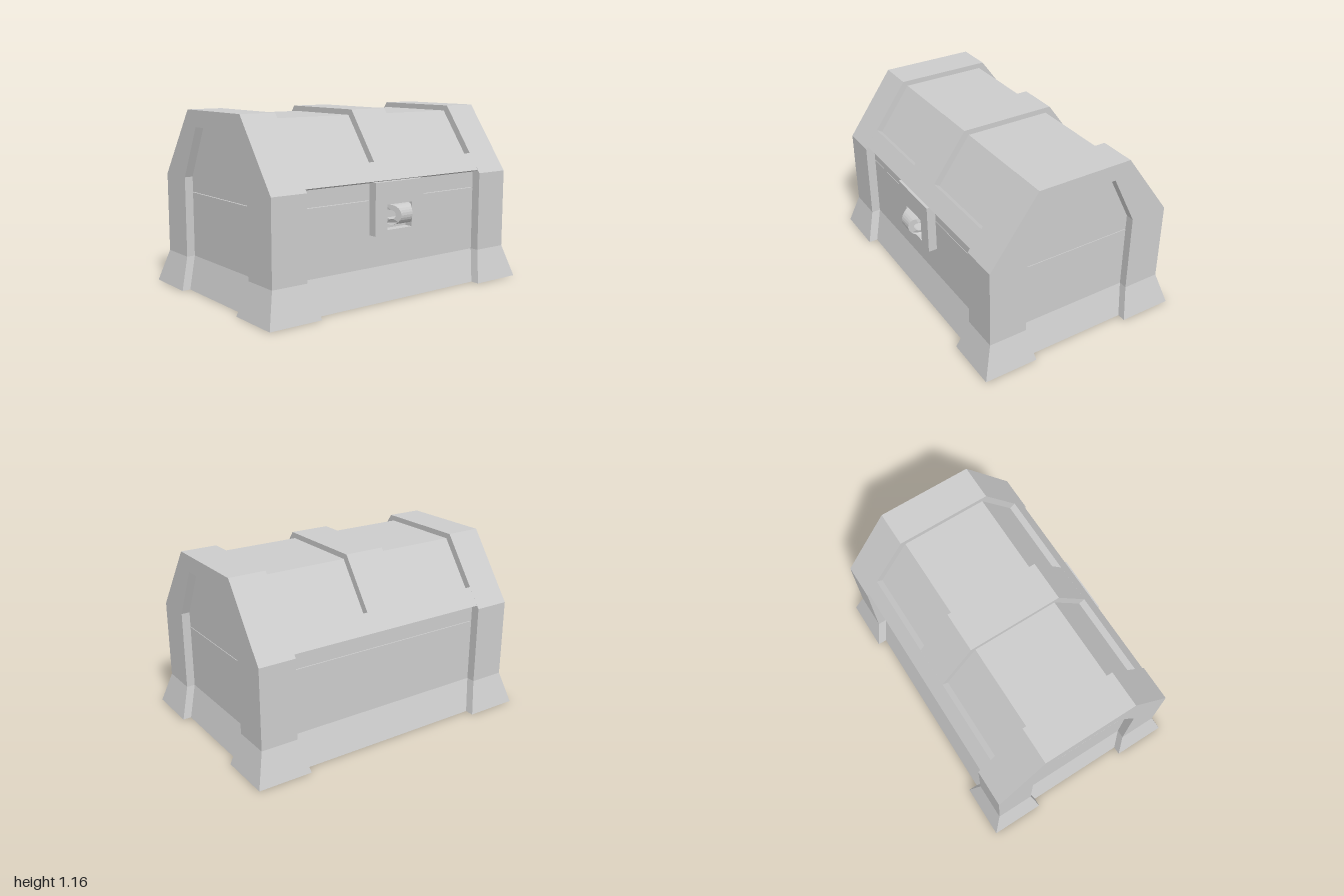
import * as THREE from 'three';

const material = new THREE.MeshStandardMaterial({ color: 0xcccccc, flatShading: true });

// Solid stacked from rectangles, each [y, x0, x1, z0, z1], bottom to top
function loft(rings) {
  const pos = [];
  const quad = (a, b, c, d) => pos.push(...a, ...b, ...c, ...a, ...c, ...d);
  const r = rings.map(([y, x0, x1, z0, z1]) => [[x0, y, z0], [x1, y, z0], [x1, y, z1], [x0, y, z1]]);
  for (let k = 0; k < r.length - 1; k++)
    for (let i = 0; i < 4; i++) {
      const j = (i + 1) % 4;
      quad(r[k][i], r[k + 1][i], r[k + 1][j], r[k][j]);
    }
  const top = r[r.length - 1];
  quad(r[0][0], r[0][1], r[0][2], r[0][3]);
  quad(top[0], top[3], top[2], top[1]);
  const geo = new THREE.BufferGeometry();
  geo.setAttribute('position', new THREE.Float32BufferAttribute(pos, 3));
  geo.computeVertexNormals();
  return geo;
}

const shapeOf = pts => new THREE.Shape(pts.map(p => new THREE.Vector2(...p)));
const mirrored = pts => [...pts, ...pts.map(([x, y]) => [-x, y]).reverse()];

// Shape in x-y, extruded from z0 to z1
function slab(shape, z0, z1) {
  return new THREE.ExtrudeGeometry(shape, { depth: z1 - z0, bevelEnabled: false, curveSegments: 6 }).translate(0, 0, z0);
}

export function createModel() {
  const group = new THREE.Group();
  const add = (name, geo, parent = group) => {
    const mesh = new THREE.Mesh(geo, material);
    mesh.name = name;
    parent.add(mesh);
    return mesh;
  };
  const ring = (y, hx, hz) => [y, -hx, hx, -hz, hz];

  // Recessed panels: lower box and lid, parted by a fine seam
  add('body', loft([ring(0, 0.635, 0.945), ring(0.21, 0.57, 0.885), ring(0.628, 0.57, 0.885)]));
  add('lid', loft([ring(0.632, 0.57, 0.885), ring(0.737, 0.57, 0.885), ring(1.13, 0.285, 0.885)]));

  // Raised arch at each end
  const arch = shapeOf([
    [0.63, 0.21], [0.63, 0.73], [0.315, 1.165], [-0.315, 1.165], [-0.63, 0.73], [-0.63, 0.21],
    [-0.38, 0.21], [-0.38, 0.73], [-0.215, 1.06], [0.215, 1.06], [0.38, 0.73], [0.38, 0.21],
  ]);
  add('frontArch', slab(arch, 0.7, 0.94));
  add('backArch', slab(arch, -0.94, -0.7));

  // Flared feet under the arches
  const span = (s, a, b) => (s > 0 ? [a, b] : [-b, -a]);
  for (const sx of [1, -1])
    for (const sz of [1, -1])
      add(`${sz > 0 ? 'front' : 'back'}${sx > 0 ? 'Left' : 'Right'}Foot`, loft([
        [0, ...span(sx, 0.34, 0.695), ...span(sz, 0.645, 1)],
        [0.21, ...span(sx, 0.38, 0.63), ...span(sz, 0.7, 0.94)],
      ]));

  // Raised rib across the middle of the lid
  add('middleRib', slab(shapeOf(mirrored([[0.57, 0.735], [0.615, 0.75], [0.315, 1.165]])), -0.135, 0.135));

  // Raised rim along both long edges of the lid
  const rim = [[0.57, 0.735], [0.615, 0.75], [0.538, 0.857], [0.5, 0.833], [0.48, 0.735]];
  add('leftLidRim', slab(shapeOf(rim), -0.7, 0.7));
  add('rightLidRim', slab(shapeOf(rim.map(([x, y]) => [-x, y])), -0.7, 0.7));

  // Latch plate with a square pocket and a tapered loop
  const latch = new THREE.Group();
  latch.name = 'latch';
  group.add(latch);
  const plate = shapeOf([[-0.195, 0.415], [0.195, 0.415], [0.195, 0.742], [-0.195, 0.742]]);
  plate.holes.push(shapeOf([[-0.1, 0.445], [-0.1, 0.602], [0.1, 0.602], [0.1, 0.445]]));
  add('latchPlate', slab(plate, 0.55, 0.627).rotateY(Math.PI / 2), latch);

  const loop = new THREE.Shape();
  loop.moveTo(0.565, 0.477);
  loop.lineTo(0.63, 0.477);
  loop.absarc(0.63, 0.538, 0.061, -Math.PI / 2, Math.PI / 2, false);
  loop.lineTo(0.565, 0.599);
  loop.lineTo(0.565, 0.566);
  loop.lineTo(0.63, 0.566);
  loop.absarc(0.63, 0.538, 0.028, Math.PI / 2, -Math.PI / 2, true);
  loop.lineTo(0.565, 0.51);
  const loopGeo = slab(loop, -0.075, 0.075);
  const p = loopGeo.attributes.position;
  for (let i = 0; i < p.count; i++)
    p.setZ(i, p.getZ(i) * (1 - 0.4 * Math.max(0, (p.getX(i) - 0.63) / 0.061)));
  loopGeo.computeVertexNormals();
  add('latchLoop', loopGeo, latch);

  return group;
}
